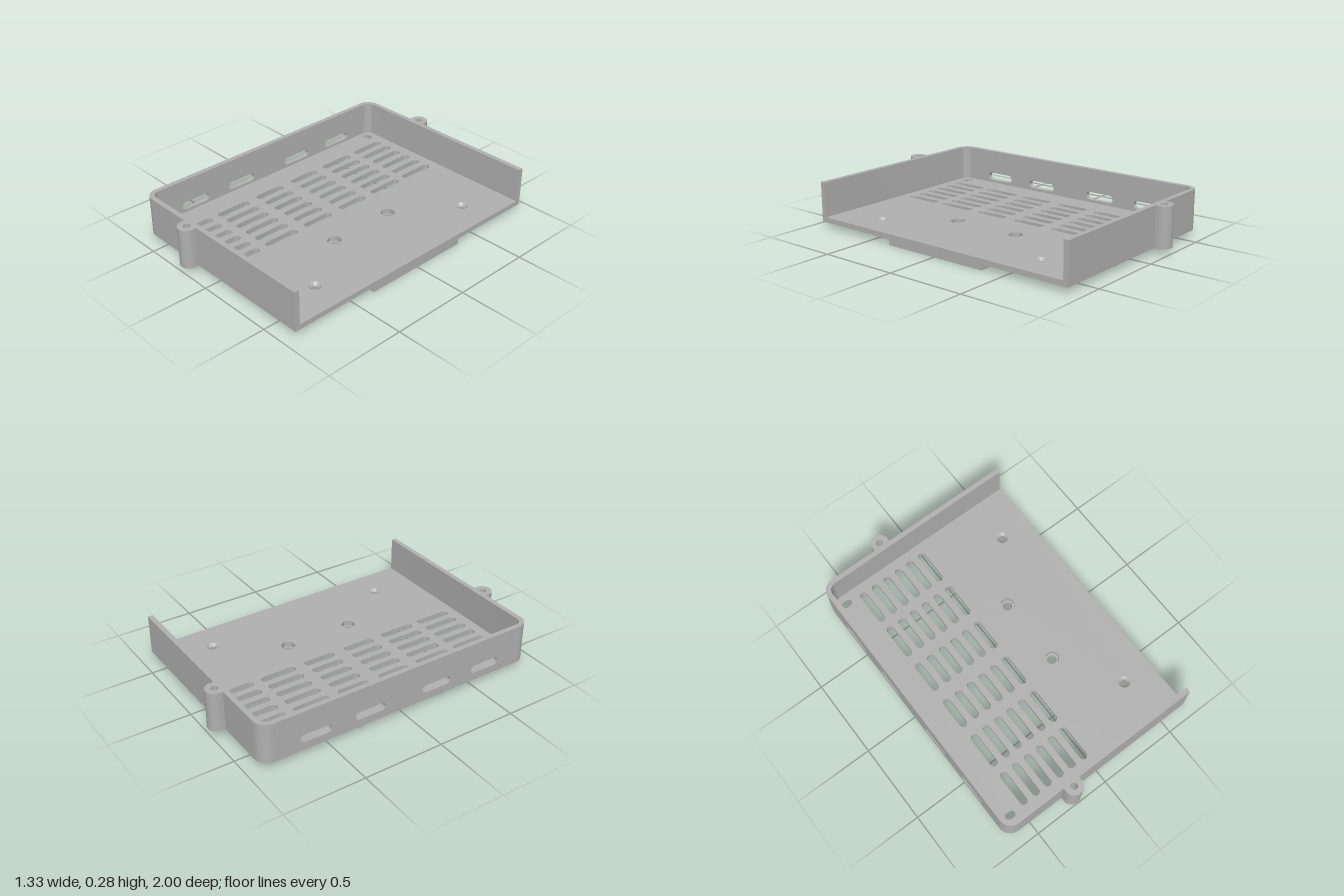
import * as THREE from 'three';
import { toCreasedNormals } from 'three/addons/utils/BufferGeometryUtils.js';

const grey = new THREE.MeshStandardMaterial({ color: 0xb0b0b0 });
grey.name = 'grey plastic';

const BASE = 0.035, MID = 0.051, FLOOR = 0.067, TOP = 0.285;   // heights
const X = 0.663, Z = 0.922, WALL = 0.031, R = 0.08;            // outer half sizes
const XI = X - WALL, ZI = Z - WALL, RI = R - WALL;             // inner outline

function mesh(name, geometry) {
  const m = new THREE.Mesh(toCreasedNormals(geometry, 0.6), grey);
  m.name = name;
  return m;
}

// Extrudes a plan outline (x, z) between two heights
function slab(name, shape, y0, y1) {
  const g = new THREE.ExtrudeGeometry(shape, { depth: y1 - y0, bevelEnabled: false, curveSegments: 12 });
  g.rotateX(-Math.PI / 2).translate(0, y0, 0);
  return mesh(name, g);
}

function circle(x, y, r, sides = 28) {
  const pts = [];
  for (let i = 0; i < sides; i++) {
    const a = (i / sides) * Math.PI * 2;
    pts.push(new THREE.Vector2(x + r * Math.cos(a), y + r * Math.sin(a)));
  }
  return new THREE.Path(pts);
}

// Round-ended slot of full length w or h
function slot(x, y, w, h) {
  const r = Math.min(w, h) / 2, p = new THREE.Path();
  if (h > w) {
    p.absarc(x, y + h / 2 - r, r, 0, Math.PI);
    p.absarc(x, y - h / 2 + r, r, Math.PI, Math.PI * 2);
  } else {
    p.absarc(x + w / 2 - r, y, r, -Math.PI / 2, Math.PI / 2);
    p.absarc(x - w / 2 + r, y, r, Math.PI / 2, Math.PI * 1.5);
  }
  p.closePath();
  return new THREE.Path(p.getPoints(8));
}

function rect(x, y, w, h) {
  return new THREE.Path([[-1, -1], [1, -1], [1, 1], [-1, 1]]
    .map(([a, b]) => new THREE.Vector2(x + a * w / 2, y + b * h / 2)));
}

// Rectangle with its two -x corners rounded
function roundedEnd(x0, x1, z, r) {
  const s = new THREE.Shape();
  s.moveTo(x1, -z);
  s.lineTo(x1, z);
  s.lineTo(x0 + r, z);
  s.absarc(x0 + r, z - r, r, Math.PI / 2, Math.PI);
  s.absarc(x0 + r, -z + r, r, Math.PI, Math.PI * 1.5);
  s.closePath();
  return s;
}

// Perforated floor; the lower layer has larger pockets below the corner slots
function floorShape(lower) {
  const s = roundedEnd(-XI, X, ZI, RI);
  for (const side of [-1, 1]) {
    for (let col = 0; col < 6; col++) {
      for (const [z, len] of [[0.143, 0.208], [0.43, 0.233], [0.715, 0.233]]) {
        s.holes.push(slot(-0.46 + col * 0.0885, side * z, 0.048, len));
      }
    }
    s.holes.push(circle(0.213, side * 0.222, 0.047, 6));
    s.holes.push(circle(0.466, side * 0.605, 0.037));
    s.holes.push(lower ? rect(-0.573, side * 0.828, 0.09, 0.07) : slot(-0.573, side * 0.828, 0.065, 0.042));
  }
  return s;
}

// Side wall in plan, with rounded corner and screw ear
function sideShape(side) {
  const s = new THREE.Shape(), ex = -0.215, ez = 0.945, er = 0.055;
  s.moveTo(X, ZI);
  s.lineTo(X, Z);
  s.lineTo(ex + er, Z);
  s.absarc(ex, ez, er, 0, Math.PI);
  s.lineTo(ex - er, Z);
  s.lineTo(-X + R, Z);
  s.absarc(-X + R, Z - R, R, Math.PI / 2, Math.PI);
  s.absarc(-X + R, Z - R, RI, Math.PI, Math.PI / 2, true);
  s.closePath();
  const pts = s.getPoints(14).map(p => new THREE.Vector2(p.x, p.y * side));
  const out = new THREE.Shape(pts);
  out.holes.push(circle(ex, ez * side, 0.021));
  return out;
}

export function createModel() {
  const model = new THREE.Group();
  model.name = 'ventedTray';

  model.add(slab('floorTop', floorShape(false), MID, FLOOR));
  model.add(slab('floorBottom', floorShape(true), BASE, MID));

  // Slotted end wall
  const half = Z - R;
  const end = new THREE.Shape([[-half, BASE], [half, BASE], [half, TOP], [-half, TOP]]
    .map(p => new THREE.Vector2(...p)));
  for (const z of [-0.585, -0.23, 0.23, 0.585]) end.holes.push(slot(z, 0.109, 0.2, 0.05));
  const endGeo = new THREE.ExtrudeGeometry(end, { depth: WALL, bevelEnabled: false });
  endGeo.rotateY(Math.PI / 2).translate(-X, 0, 0);
  model.add(mesh('endWall', endGeo));

  // Raised pad under the floor, with bolt holes
  const pad = roundedEnd(0.128, X, 0.35, 0.06);
  for (const side of [-1, 1]) pad.holes.push(circle(0.213, side * 0.222, 0.028));
  model.add(slab('bottomPad', pad, 0, BASE));

  for (const side of [-1, 1]) {
    model.add(slab('sideWall', sideShape(side), BASE, TOP));

    // Underside rib between the vent rows
    const rib = mesh('bottomRib', new THREE.BoxGeometry(0.775, BASE - 0.012, 0.04));
    rib.position.set(-0.2575, (BASE + 0.012) / 2, side * 0.28);
    model.add(rib);

    // Countersunk screw seat
    const seat = [[0.037, BASE], [0.037, FLOOR], [0.02, 0.05], [0.02, BASE], [0.037, BASE]]
      .map(p => new THREE.Vector2(...p));
    const ring = mesh('screwSeat', new THREE.LatheGeometry(seat, 28));
    ring.material = grey;
    ring.position.set(0.466, 0, side * 0.605);
    // Profile runs upward on the outside and down the bore
    model.add(ring);
  }
  return model;
}
